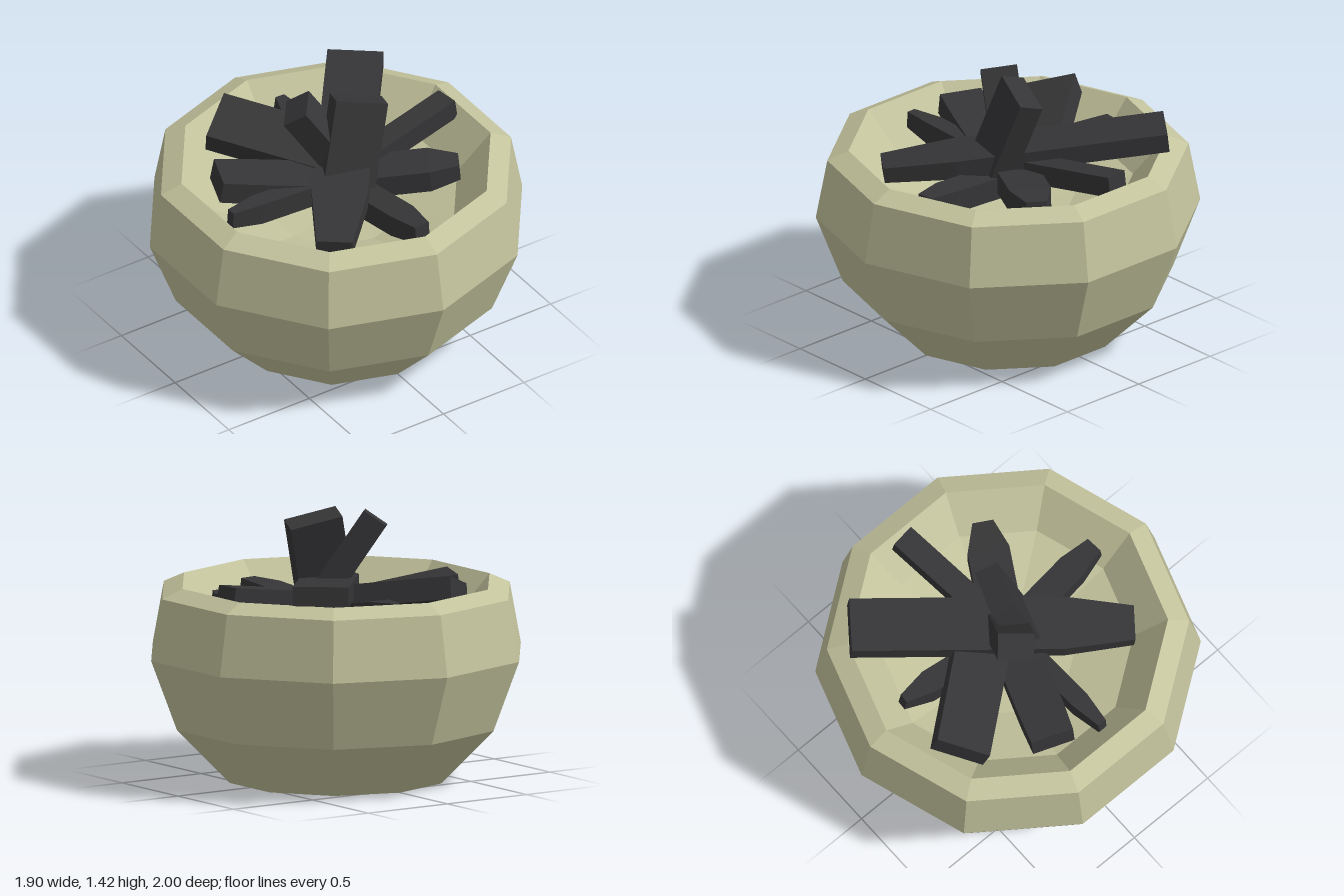
import * as THREE from 'three';

const clay = new THREE.MeshStandardMaterial({ color: 0xc3c39d, flatShading: true });
clay.name = 'paleClay';
const charcoal = new THREE.MeshStandardMaterial({ color: 0x353537, flatShading: true });
charcoal.name = 'charcoal';

// Squared log from a to b; side is the direction of its width, taper narrows the b end
function log(name, a, b, width, thick, side, taper = 1) {
  const from = new THREE.Vector3(...a), to = new THREE.Vector3(...b);
  const dir = to.clone().sub(from);
  const length = dir.length();
  dir.normalize();
  const geo = new THREE.BoxGeometry(width, thick, length, 1, 1, 4);
  const p = geo.attributes.position;
  for (let i = 0; i < p.count; i++) {
    if (p.getZ(i) > length * 0.45) {
      p.setX(i, p.getX(i) * taper);
      p.setY(i, p.getY(i) * (0.5 + taper / 2));
    }
  }
  const y = dir.clone().cross(new THREE.Vector3(...side)).normalize();
  const x = y.clone().cross(dir);
  geo.applyMatrix4(new THREE.Matrix4().makeBasis(x, y, dir));
  const mesh = new THREE.Mesh(geo, charcoal);
  mesh.position.copy(from).add(to).multiplyScalar(0.5);
  mesh.name = name;
  return mesh;
}

export function createModel() {
  const group = new THREE.Group();
  group.name = 'firePit';

  // Ten-sided bowl: underside, outer wall, sloped rim, inner wall and floor
  const profile = [
    [0, 0], [0.575, 0], [0.86, 0.29], [1, 0.66], [0.94, 0.98],
    [0.83, 1.03], [0.65, 0.82], [0.35, 0.73], [0, 0.7],
  ].map(([r, y]) => new THREE.Vector2(r, y));
  const bowl = new THREE.Mesh(new THREE.LatheGeometry(profile, 10), clay);
  bowl.name = 'bowl';
  group.add(bowl);

  const logs = new THREE.Group();
  logs.name = 'logPile';
  logs.add(
    // Long log across the pile, and the rolled one behind it
    log('crossLog', [0.535, 1.085, -0.62], [-0.37, 0.93, 0.54], 0.29, 0.1, [0.78, 0, 0.62], 0.65),
    log('backLeftLog', [0.15, 0.93, -0.02], [-0.34, 1.03, -0.62], 0.29, 0.12, [0.75, 0.3, -0.62]),
    // Two logs standing in the middle
    log('uprightRightLog', [-0.03, 0.86, 0.12], [0.13, 1.37, 0.02], 0.28, 0.13, [0.8, -0.3, 0.35]),
    log('uprightLeftLog', [0.1, 0.9, 0.05], [-0.18, 1.36, -0.1], 0.19, 0.14, [0.5, 0.3, -0.85]),
    // Low logs radiating outward
    log('leftLog', [0, 0.88, 0.02], [-0.6, 1.0, -0.21], 0.24, 0.12, [0.3, 0, -0.95], 0.95),
    log('frontLeftLog', [0, 0.9, 0.03], [-0.69, 0.95, 0.05], 0.1, 0.12, [0, 0, 1], 0.5),
    log('backLog', [0.03, 0.85, 0], [0.08, 0.97, -0.65], 0.13, 0.12, [1, 0, 0], 0.4),
    log('rightLog', [0, 0.92, 0.02], [0.75, 1.03, -0.08], 0.13, 0.11, [0, 0, 1]),
    log('frontRightLog', [0.02, 0.89, 0], [0.56, 0.94, 0.31], 0.22, 0.12, [-0.5, 0, 0.86], 0.5),
    log('frontLog', [0.03, 0.85, 0], [0.09, 0.92, 0.67], 0.15, 0.12, [1, 0, 0], 0.6),
  );
  group.add(logs);
  return group;
}
